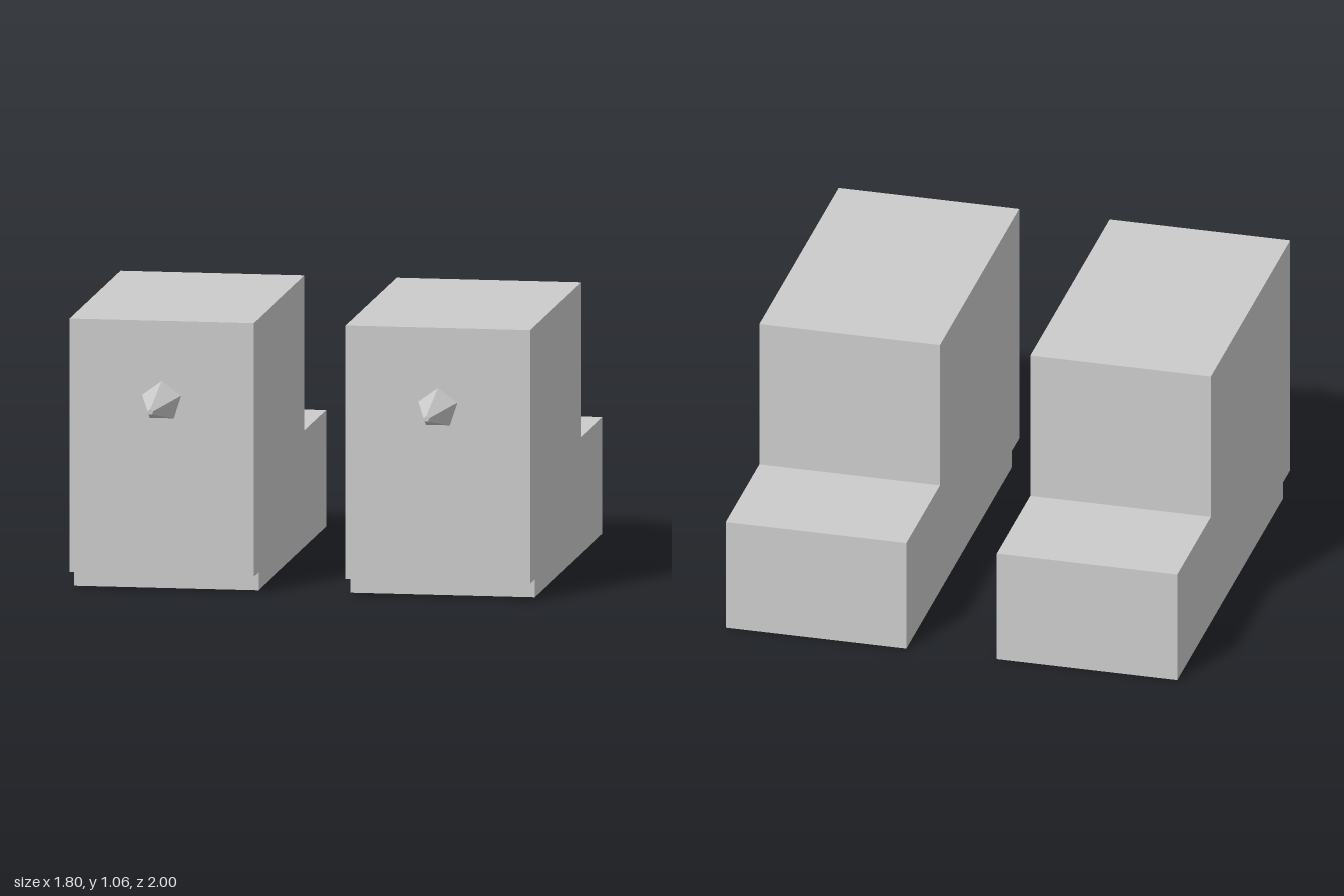
import * as THREE from 'three';

const WIDTH = 0.72;

export function createModel() {
  const model = new THREE.Group();
  const material = new THREE.MeshStandardMaterial({ color: 0xcccccc, flatShading: true });

  // Stepped side profile as (z, y): low heel at the back, notch under the front
  const profile = new THREE.Shape([
    [-1, 0], [0.62, 0], [0.62, 0.07], [0.73, 0.07],
    [0.73, 1.06], [-0.485, 1.06], [-0.485, 0.455], [-1, 0.455],
  ].map(([z, y]) => new THREE.Vector2(z, y)));
  const blockGeometry = new THREE.ExtrudeGeometry(profile, { depth: WIDTH, bevelEnabled: false })
    .translate(0, 0, -WIDTH / 2)
    .rotateY(-Math.PI / 2);

  // Blunt five-sided spike pointing forward, one edge on top
  const spikeGeometry = new THREE.CylinderGeometry(0.012, 0.08, 0.27, 5, 1, false, Math.PI)
    .rotateX(Math.PI / 2)
    .translate(0, 0.745, 0.865);

  // Matching left and right units
  for (const [side, x] of [['left', 0.54], ['right', -0.54]]) {
    const unit = new THREE.Group();
    unit.name = `${side}Unit`;
    unit.position.x = x;

    const block = new THREE.Mesh(blockGeometry, material);
    block.name = `${side}SteppedBlock`;
    const spike = new THREE.Mesh(spikeGeometry, material);
    spike.name = `${side}Spike`;

    unit.add(block, spike);
    model.add(unit);
  }
  return model;
}
